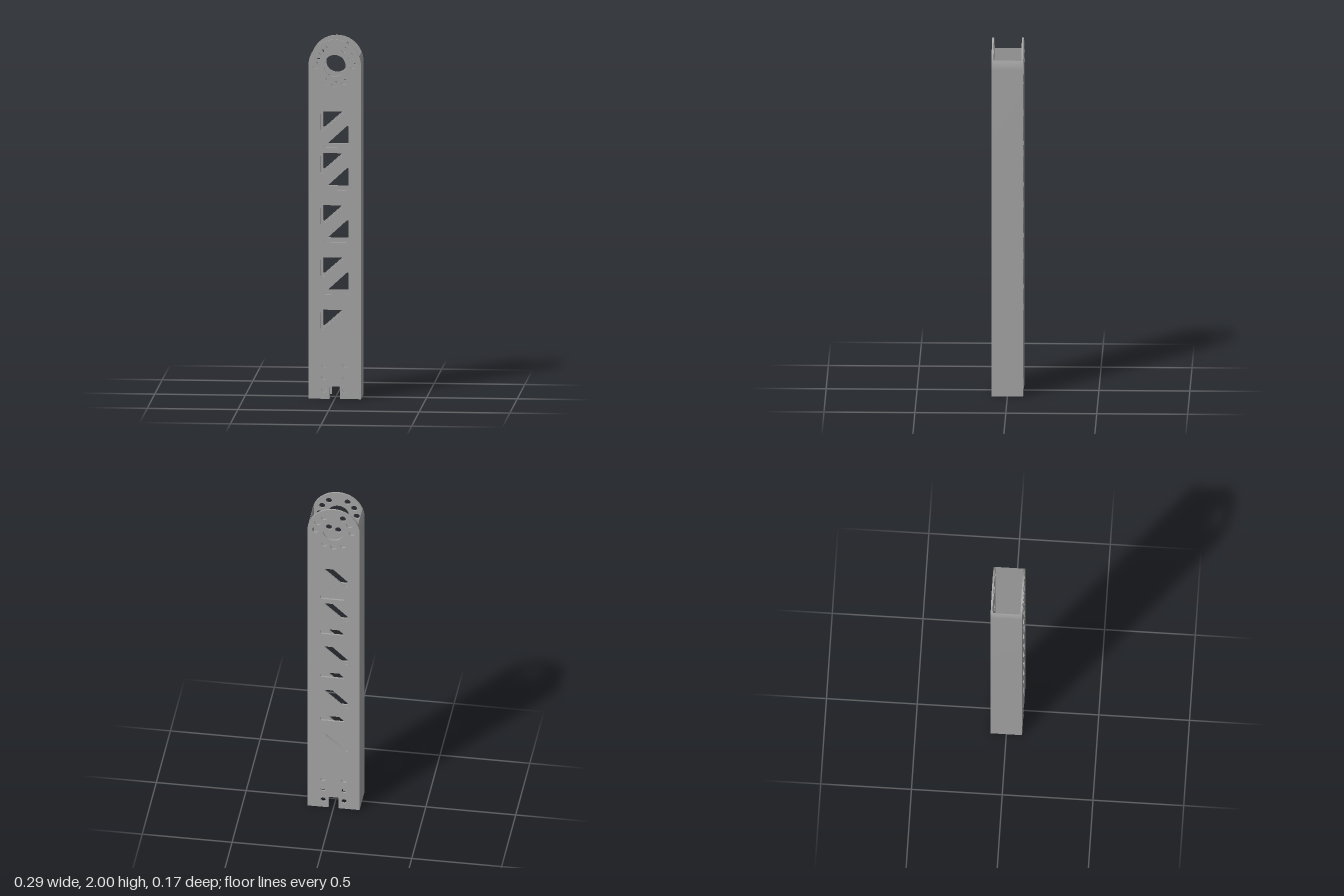
import * as THREE from 'three';
import { toCreasedNormals } from 'three/addons/utils/BufferGeometryUtils.js';

const HALF_W = 0.145, HALF_D = 0.087, WALL = 0.01, PIVOT_Y = 1.855;

function circleHole(x, y, r) {
  const p = new THREE.Path();
  p.absarc(x, y, r, 0, Math.PI * 2, true);
  return p;
}

// Polygon hole with softened corners
function roundedHole(points, cut) {
  const v = points.map(([x, y]) => new THREE.Vector2(x, y));
  const toward = (a, b) => a.clone().add(b.clone().sub(a).setLength(cut));
  const p = new THREE.Path();
  v.forEach((c, i) => {
    const start = toward(c, v[(i + v.length - 1) % v.length]);
    const end = toward(c, v[(i + 1) % v.length]);
    if (i === 0) p.moveTo(start.x, start.y);
    else p.lineTo(start.x, start.y);
    p.quadraticCurveTo(c.x, c.y, end.x, end.y);
  });
  p.closePath();
  return p;
}

function extrude(shape, depth) {
  const g = new THREE.ExtrudeGeometry(shape, { depth, bevelEnabled: false, curveSegments: 24 });
  g.translate(0, 0, -depth / 2);
  return toCreasedNormals(g, 0.5);
}

// Face plate: round top, slotted foot, lightening cut-outs and bolt holes
function plateShape() {
  const s = new THREE.Shape();
  const slot = 0.028, slotTop = 0.07, r = 0.008;
  s.moveTo(-HALF_W, 0);
  s.lineTo(-slot, 0);
  s.lineTo(-slot, slotTop - r);
  s.quadraticCurveTo(-slot, slotTop, -slot + r, slotTop);
  s.lineTo(slot - r, slotTop);
  s.quadraticCurveTo(slot, slotTop, slot, slotTop - r);
  s.lineTo(slot, 0);
  s.lineTo(HALF_W, 0);
  s.lineTo(HALF_W, PIVOT_Y);
  s.absarc(0, PIVOT_Y, HALF_W, 0, Math.PI, false);
  s.closePath();

  // Pivot bore and its ring of bolt holes
  s.holes.push(circleHole(0, PIVOT_Y, 0.06));
  for (const deg of [0, 30, 60, 120, 150, 180, 240, 270, 300]) {
    const a = THREE.MathUtils.degToRad(deg);
    s.holes.push(circleHole(0.103 * Math.cos(a), PIVOT_Y + 0.103 * Math.sin(a), 0.017));
  }
  // Foot bolt holes
  for (const x of [-0.058, 0.058])
    for (const y of [0.05, 0.119, 0.188]) s.holes.push(circleHole(x, y, 0.014));
  // Triangular cut-outs
  for (const t of [1.6, 1.368, 1.078, 0.787, 0.496])
    s.holes.push(roundedHole([[-0.077, t], [0.058, t], [-0.077, t - 0.12]], 0.018));
  for (const b of [1.397, 1.162, 0.872, 0.581])
    s.holes.push(roundedHole([[0.076, b], [-0.066, b], [0.076, b + 0.131]], 0.018));
  return s;
}

// Side wall section, its top following the round of the plates
function wallShape() {
  const inner = HALF_W - WALL;
  const s = new THREE.Shape();
  s.moveTo(inner, 0);
  s.lineTo(HALF_W, 0);
  s.lineTo(HALF_W, PIVOT_Y);
  s.absarc(0, PIVOT_Y, HALF_W, 0, Math.acos(inner / HALF_W), false);
  s.closePath();
  return s;
}

export function createModel() {
  const group = new THREE.Group();
  group.name = 'boxArm';
  const metal = new THREE.MeshStandardMaterial({ color: 0xa6a6a6 });
  metal.name = 'grey metal';
  const add = (geometry, name) => {
    const m = new THREE.Mesh(geometry, metal);
    m.name = name;
    group.add(m);
    return m;
  };

  // Front and back plates
  const plate = extrude(plateShape(), WALL);
  add(plate, 'frontPlate').position.z = HALF_D - WALL / 2;
  add(plate, 'backPlate').position.z = -HALF_D + WALL / 2;

  // Side walls
  const wall = extrude(wallShape(), 2 * (HALF_D - WALL));
  add(wall, 'leftWall');
  add(wall, 'rightWall').rotation.y = Math.PI;

  return group;
}
